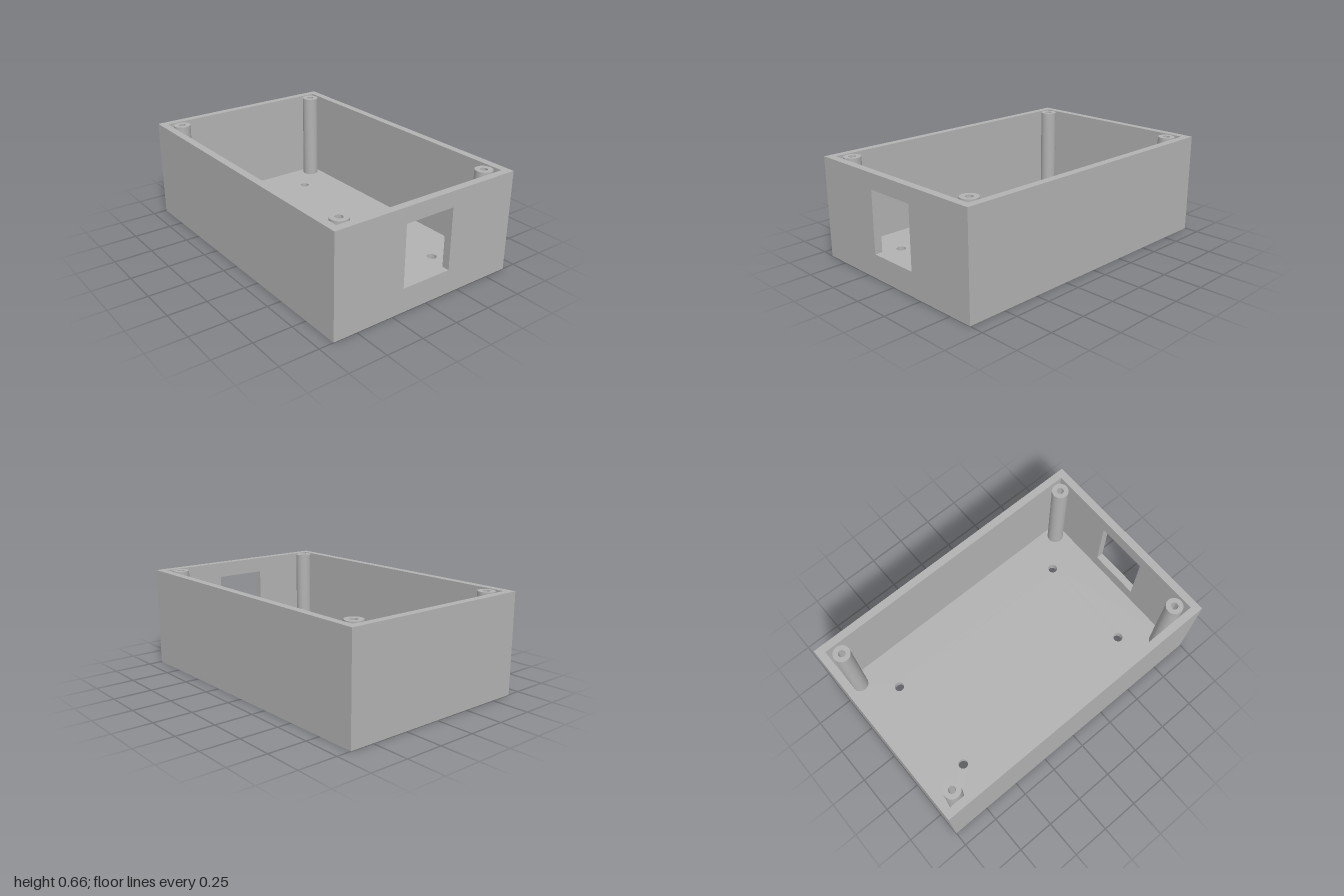
import * as THREE from 'three';
import { toCreasedNormals } from 'three/addons/utils/BufferGeometryUtils.js';

const X = 1, Z = 0.656, H = 0.656;          // outer half sizes and height
const WALL = 0.05, FLOOR = 0.05;
const IX = X - WALL, IZ = Z - WALL;         // inner half sizes
const WIN = { w: 0.346, h: 0.4, y: 0.355 }; // opening in the side wall
const HOLE_R = 0.031;
const Q = Math.PI / 2;

const corners = (x, z) => [[x, z], [-x, z], [x, -z], [-x, -z]];

function rect(w, h, cy = 0, Type = THREE.Shape) {
  return new Type([[-1, -1], [1, -1], [1, 1], [-1, 1]].map(
    ([a, b]) => new THREE.Vector2(a * w / 2, cy + b * h / 2)));
}

export function createModel() {
  const group = new THREE.Group();
  const grey = new THREE.MeshStandardMaterial({ color: 0xb2b2b2 });
  grey.name = 'grey plastic';

  const add = (name, geometry, x, y, z) => {
    const mesh = new THREE.Mesh(geometry, grey);
    mesh.name = name;
    mesh.position.set(x, y, z);
    group.add(mesh);
  };

  // Flat face looking along +z, then turned into place
  const panel = (name, w, h, [x, y, z], rx, ry, holes = []) => {
    const shape = rect(w, h);
    shape.holes.push(...holes);
    const geometry = new THREE.ShapeGeometry(shape, 16);
    geometry.rotateX(rx).rotateY(ry);
    add(name, geometry, x, y, z);
  };
  const lathe = (points) => toCreasedNormals(new THREE.LatheGeometry(
    points.map(([r, y]) => new THREE.Vector2(r, y)), 32), 0.6);

  // Floor with screw holes, and the rim on top of the walls
  const screwHoles = () => corners(0.69, 0.345).map(([x, z]) =>
    new THREE.Path().absarc(x, z, HOLE_R, 0, Math.PI * 2));
  panel('floorUnderside', 2 * X, 2 * Z, [0, 0, 0], Q, 0, screwHoles());
  panel('floorInside', 2 * IX, 2 * IZ, [0, FLOOR, 0], -Q, 0, screwHoles());
  panel('rim', 2 * X, 2 * Z, [0, H, 0], -Q, 0, [rect(2 * IX, 2 * IZ, 0, THREE.Path)]);

  // Walls: outer faces look outward, inner faces look inward
  const mid = (H + FLOOR) / 2, ih = H - FLOOR;
  const opening = (cy) => [rect(WIN.w, WIN.h, WIN.y - cy, THREE.Path)];
  panel('frontWallOutside', 2 * X, H, [0, H / 2, Z], 0, 0);
  panel('backWallOutside', 2 * X, H, [0, H / 2, -Z], 0, Math.PI);
  panel('leftWallOutside', 2 * Z, H, [X, H / 2, 0], 0, Q, opening(H / 2));
  panel('rightWallOutside', 2 * Z, H, [-X, H / 2, 0], 0, -Q);
  panel('frontWallInside', 2 * IX, ih, [0, mid, IZ], 0, Math.PI);
  panel('backWallInside', 2 * IX, ih, [0, mid, -IZ], 0, 0);
  panel('leftWallInside', 2 * IZ, ih, [IX, mid, 0], 0, -Q, opening(mid));
  panel('rightWallInside', 2 * IZ, ih, [-IX, mid, 0], 0, Q);

  // Four faces through the thickness of the opening
  const wx = X - WALL / 2;
  panel('openingSill', WALL, WIN.w, [wx, WIN.y - WIN.h / 2, 0], -Q, 0);
  panel('openingHead', WALL, WIN.w, [wx, WIN.y + WIN.h / 2, 0], Q, 0);
  panel('openingFrontJamb', WALL, WIN.h, [wx, WIN.y, WIN.w / 2], 0, Math.PI);
  panel('openingBackJamb', WALL, WIN.h, [wx, WIN.y, -WIN.w / 2], 0, 0);

  // Hollow corner posts, flush with the rim
  const post = lathe([[0.055, FLOOR], [0.055, H], [0.023, H], [0.023, FLOOR]]);
  for (const [x, z] of corners(0.88, 0.535)) add('cornerPost', post, x, 0, z);

  // Walls of the screw holes
  const bore = lathe([[HOLE_R, FLOOR], [HOLE_R, 0]]);
  for (const [x, z] of corners(0.69, 0.345)) add('screwHole', bore, x, 0, z);

  return group;
}
